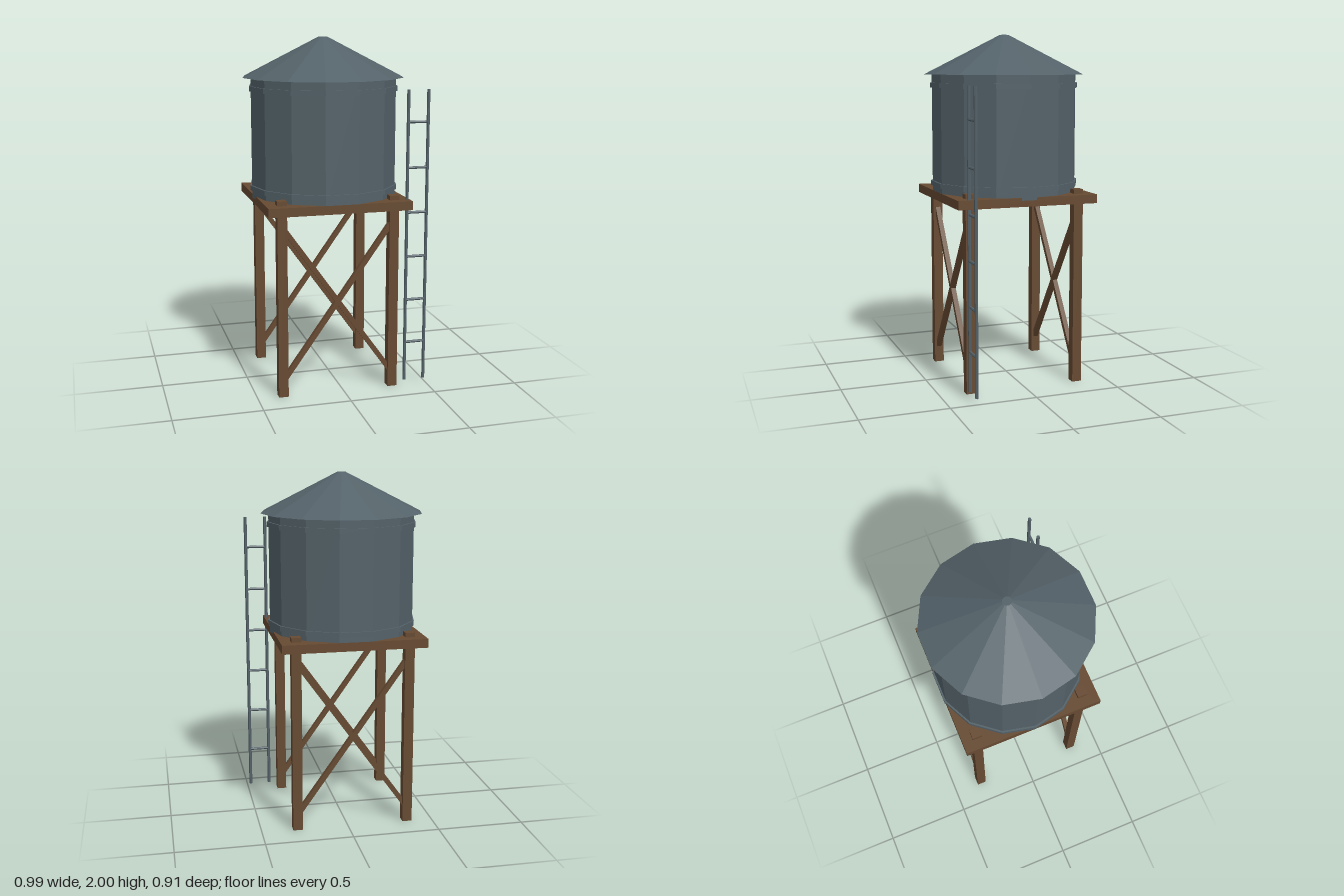
import * as THREE from 'three';

const steel = new THREE.MeshStandardMaterial({ color: 0x546269, flatShading: true });
steel.name = 'slate steel';
const wood = new THREE.MeshStandardMaterial({ color: 0x664a32, flatShading: true });
wood.name = 'brown timber';

const CX = -0.03; // tower axis, offset so the ladder balances the width
const SIDES = 14;

export function createModel() {
  const model = new THREE.Group();
  model.name = 'waterTower';

  const add = (name, geometry, material, x, y, z, parent = model) => {
    const mesh = new THREE.Mesh(geometry, material);
    mesh.name = name;
    mesh.position.set(x, y, z);
    parent.add(mesh);
    return mesh;
  };

  const tower = new THREE.Group();
  tower.name = 'tower';
  tower.position.x = CX;
  model.add(tower);

  // Faceted drum between two heights, with a corner on the x axis
  const drum = (name, rTop, rBottom, y0, y1) => {
    const g = new THREE.CylinderGeometry(rTop, rBottom, y1 - y0, SIDES);
    g.rotateY(Math.PI / 2);
    return add(name, g, steel, 0, (y0 + y1) / 2, 0, tower);
  };
  drum('tank', 0.42, 0.42, 1.09, 1.777);
  drum('lowerBand', 0.43, 0.43, 1.135, 1.163);
  drum('upperBand', 0.43, 0.43, 1.7, 1.728);
  drum('roof', 0.025, 0.465, 1.775, 2);

  // Timber platform and legs that poke through it
  add('platform', new THREE.BoxGeometry(0.82, 0.05, 0.82), wood, 0, 1.08, 0, tower);
  for (const sx of [-1, 1]) {
    for (const sz of [-1, 1]) {
      add('leg', new THREE.BoxGeometry(0.055, 1.13, 0.055), wood, sx * 0.3225, 0.565, sz * 0.3225, tower);
    }
  }

  // Crossed braces on the front and back
  const run = 0.62, rise = 0.87;
  for (const sz of [-1, 1]) {
    for (const s of [-1, 1]) {
      const brace = add('brace', new THREE.BoxGeometry(Math.hypot(run, rise), 0.028, 0.028), wood, 0, 0.535, sz * 0.3225, tower);
      brace.rotation.z = s * Math.atan2(rise, run);
    }
  }

  // Ladder
  const ladder = new THREE.Group();
  ladder.name = 'ladder';
  ladder.position.set(0.426, 0, 0.345);
  model.add(ladder);
  for (const s of [-1, 1]) {
    const rail = new THREE.CylinderGeometry(0.0095, 0.0095, 1.69, 6);
    rail.rotateY(Math.PI / 2);
    add('ladderRail', rail, steel, s * 0.0585, 0.875, 0, ladder);
  }
  for (let i = 0; i < 6; i++) {
    const rung = new THREE.CylinderGeometry(0.008, 0.008, 0.117, 6);
    rung.rotateZ(Math.PI / 2);
    add('ladderRung', rung, steel, 0, 0.26 + i * 0.256, 0, ladder);
  }

  return model;
}
